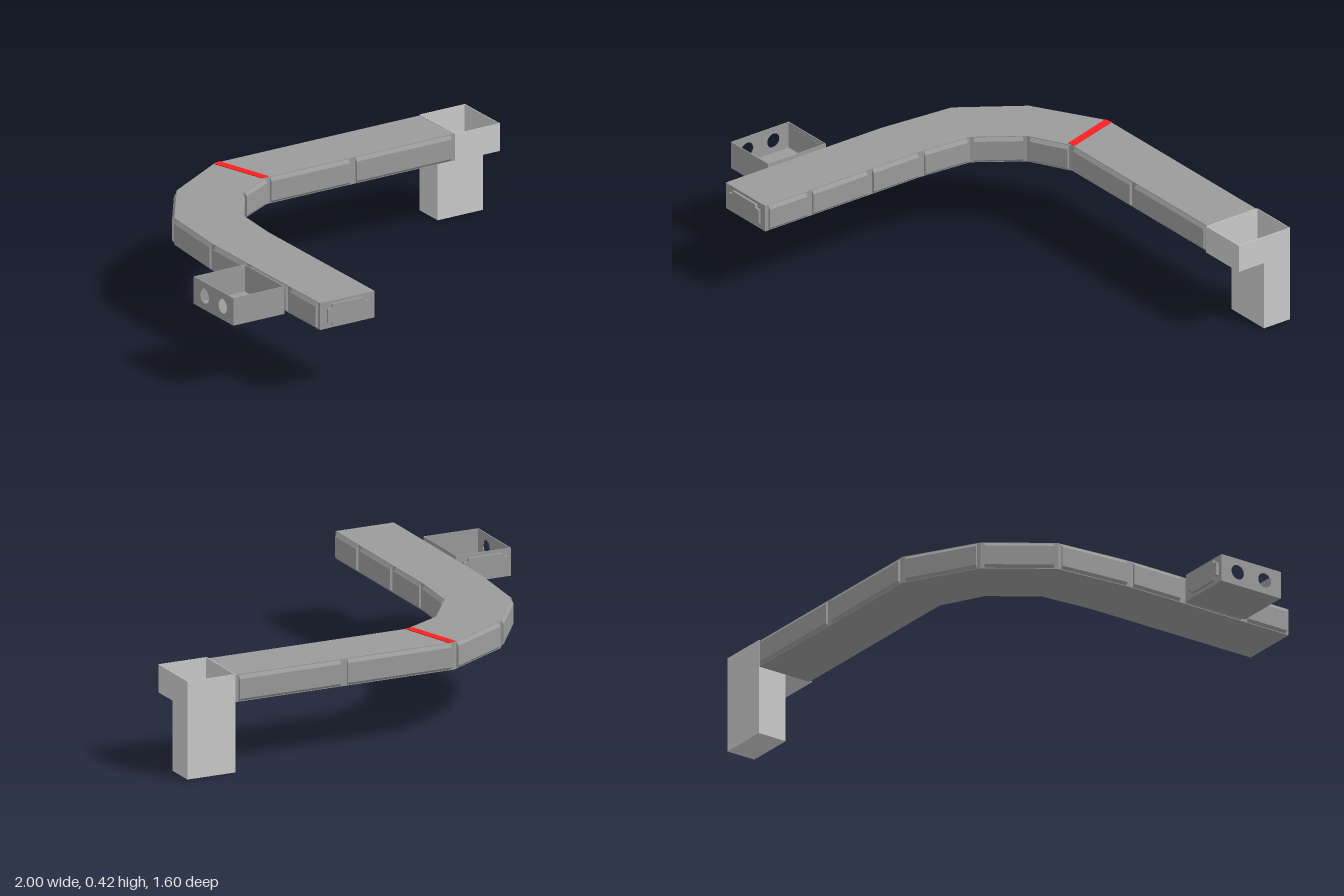
import * as THREE from 'three';

const grey = new THREE.MeshStandardMaterial({ color: 0xcccccc, flatShading: true });
const dark = new THREE.MeshStandardMaterial({ color: 0x9b9b9b, flatShading: true });
const red = new THREE.MeshStandardMaterial({ color: 0xff2020, flatShading: true });
const Y0 = 0.3, Y1 = 0.417;

// Edge stations [x, z] along the conveyor, from the front end round to the chute
const outer = [[-0.73, 0.79], [-0.73, 0.565], [-0.73, 0.255], [-0.73, -0.01], [-0.70, -0.35],
  [-0.52, -0.61], [-0.22, -0.787], [0.285, -0.787], [0.78, -0.787]];
const inner = [[-0.465, 0.79], [-0.465, 0.565], [-0.465, 0.255], [-0.465, -0.01], [-0.445, -0.25],
  [-0.31, -0.44], [-0.13, -0.535], [0.285, -0.535], [0.78, -0.535]];

function add(parent, name, geometry, material) {
  const mesh = new THREE.Mesh(geometry, material);
  mesh.name = name;
  parent.add(mesh);
  return mesh;
}

function shapeOf(points) {
  return new THREE.Shape(points.map(([a, b]) => new THREE.Vector2(a, b)));
}

// Horizontal slab with an [x, z] outline between two heights
function slab(points, y0, y1) {
  const g = new THREE.ExtrudeGeometry(shapeOf(points.map(([x, z]) => [x, -z])),
    { depth: y1 - y0, bevelEnabled: false });
  return g.rotateX(-Math.PI / 2).translate(0, y0, 0);
}

// Bevelled side panel between two stations, bulging to the left of travel
function sidePanel(parent, p, q) {
  const dx = q[0] - p[0], dz = q[1] - p[1], len = Math.hypot(dx, dz), gap = 0.016;
  const profile = shapeOf([[-0.005, Y0 + 0.003], [0, Y0 + 0.003], [0.011, Y0 + 0.014],
    [0.011, Y1 - 0.018], [0, Y1 - 0.003], [-0.005, Y1 - 0.003]]);
  const mesh = add(parent, 'sidePanel',
    new THREE.ExtrudeGeometry(profile, { depth: len - 2 * gap, bevelEnabled: false }), dark);
  mesh.position.set(p[0] + dx / len * gap, 0, p[1] + dz / len * gap);
  mesh.rotation.y = Math.atan2(dx, dz);
}

// Plaque with stepped ends, centred, facing +z
function plaque(w, h, depth) {
  const a = w / 2, b = a - 0.025, c = h / 2, d = c * 0.65;
  const s = shapeOf([[-a, -d], [-b - 0.008, -d], [-b, -c], [b, -c], [b + 0.008, -d], [a, -d],
    [a, d], [b + 0.008, d], [b, c], [-b, c], [-b - 0.008, d], [-a, d]]);
  return new THREE.ExtrudeGeometry(s, { depth, bevelEnabled: false }).translate(0, 0, -depth / 2);
}

function box(x0, x1, y0, y1, z0, z1) {
  return new THREE.BoxGeometry(x1 - x0, y1 - y0, z1 - z0)
    .translate((x0 + x1) / 2, (y0 + y1) / 2, (z0 + z1) / 2);
}

function makeConveyor() {
  const g = new THREE.Group();
  g.name = 'conveyor';
  // One body section and a pair of side panels per bay
  for (let i = 0; i < outer.length - 1; i++) {
    add(g, 'beltSection', slab([inner[i], inner[i + 1], outer[i + 1], outer[i]], Y0, Y1), dark);
    sidePanel(g, outer[i], outer[i + 1]);
    sidePanel(g, inner[i + 1], inner[i]);
  }
  add(g, 'redStripe', slab([[-0.155, -0.535], [-0.12, -0.537], [-0.195, -0.787], [-0.23, -0.781]],
    Y1 - 0.01, Y1 + 0.003), red);
  add(g, 'endPlaque', plaque(0.2, 0.095, 0.02), dark).position.set(-0.597, 0.357, 0.79);
  return g;
}

// Open tray with L-shaped side walls and a drop leg at the back
function makeChute() {
  const g = new THREE.Group();
  g.name = 'chute';
  const x0 = 0.78, x1 = 1, zf = -0.525, zm = -0.655, zb = -0.79, t = 0.003;
  const side = shapeOf([[zf, Y0], [zf, 0.42], [zb, 0.42], [zb, 0], [zm, 0], [zm, Y0]]);
  for (const x of [x0 + t, x1]) {
    add(g, 'chuteSide', new THREE.ExtrudeGeometry(side, { depth: t, bevelEnabled: false })
      .rotateY(-Math.PI / 2).translate(x, 0, 0), grey);
  }
  add(g, 'chuteBack', box(x0, x1, 0, 0.42, zb, zb + t), grey);
  add(g, 'chuteFront', box(x0, x1, Y0, 0.42, zf - t, zf), grey);
  add(g, 'chuteFloor', box(x0, x1, Y0, Y0 + t, zm, zf), grey);
  add(g, 'legFront', box(x0, x1, 0, Y0, zm - t, zm), grey);
  add(g, 'legBottom', box(x0, x1, 0, t, zb, zm), grey);
  return g;
}

// Open side box with two round holes in its outer wall
function makeSideBox() {
  const g = new THREE.Group();
  g.name = 'sideBox';
  const x0 = -1, x1 = -0.75, z0 = 0.258, z1 = 0.556, t = 0.004;
  add(g, 'boxFloor', box(x0, x1, Y0, Y0 + t, z0, z1), dark);
  add(g, 'boxFront', box(x0, x1, Y0, 0.42, z1 - t, z1), dark);
  add(g, 'boxBack', box(x0, x1, Y0, 0.42, z0, z0 + t), dark);
  add(g, 'boxInnerWall', box(x1 - t, x1, Y0, 0.42, z0, z1), dark);
  const wall = shapeOf([[z0, Y0], [z1, Y0], [z1, 0.42], [z0, 0.42]]);
  for (const z of [0.34, 0.475]) {
    wall.holes.push(new THREE.Path().absarc(z, 0.36, 0.032, 0, Math.PI * 2, true));
  }
  add(g, 'holedWall', new THREE.ExtrudeGeometry(wall, { depth: t, bevelEnabled: false, curveSegments: 12 })
    .rotateY(-Math.PI / 2).translate(x0 + t, 0, 0), dark);
  add(g, 'boxPlaque', plaque(0.2, 0.09, 0.018), dark).position.set(-0.88, 0.36, z0 - 0.004);
  const link = add(g, 'connector', plaque(0.11, 0.08, 0.016), dark);
  link.rotation.y = Math.PI / 2;
  link.position.set(-0.743, 0.36, 0.405);
  return g;
}

export function createModel() {
  const model = new THREE.Group();
  model.name = 'curvedConveyor';
  model.add(makeConveyor(), makeChute(), makeSideBox());
  return model;
}
